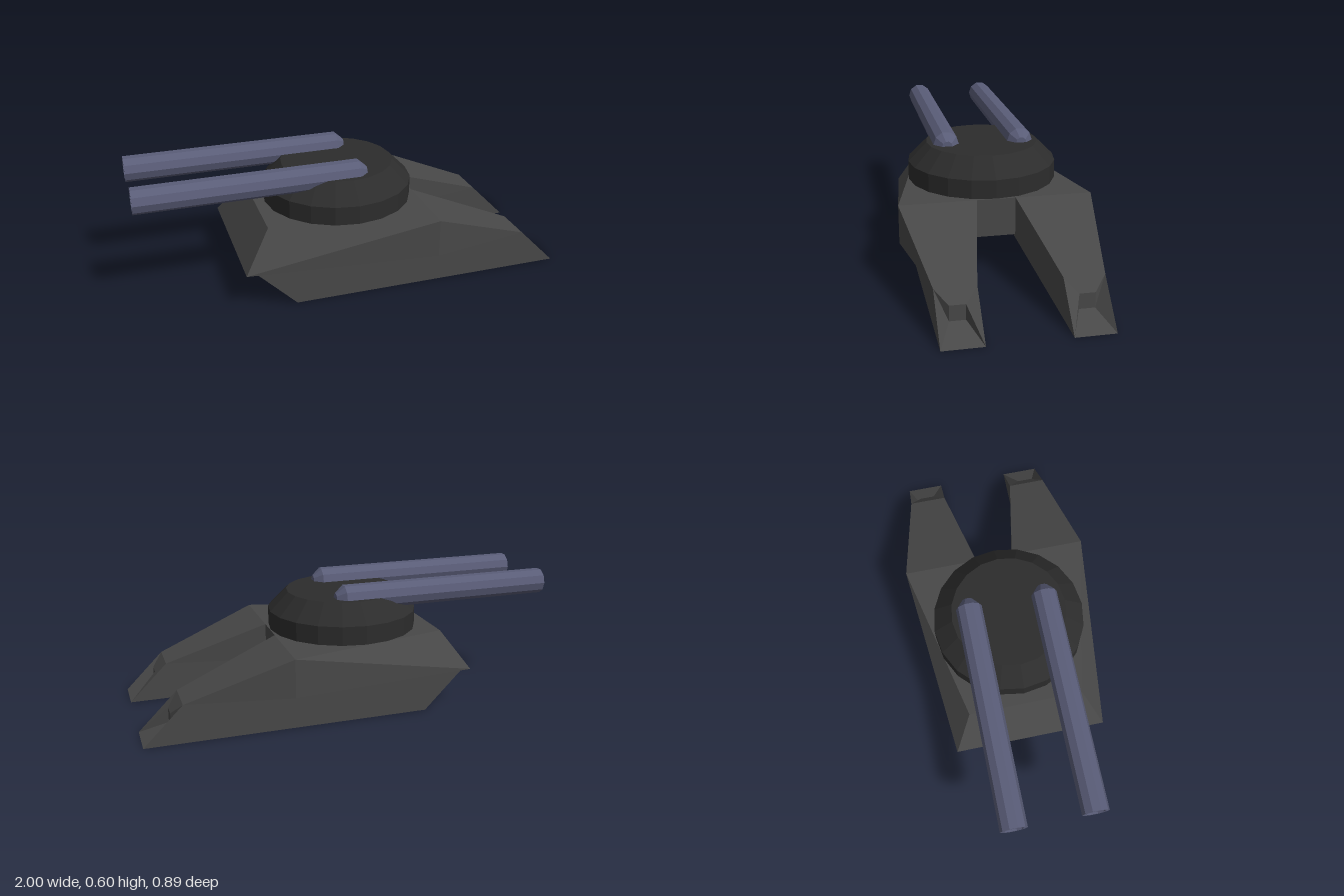
import * as THREE from 'three';

const material = (color) => new THREE.MeshStandardMaterial({ color, flatShading: true });
const hullMat = material(0x484848);
const turretMat = material(0x2c2c2c);
const barrelMat = material(0x5a5d78);

// Flat-shaded mesh from convex polygons; side = -1 mirrors it across z = 0.
function polyMesh(name, polygons, side) {
  const positions = [];
  for (const poly of polygons) {
    for (let i = 1; i < poly.length - 1; i++) {
      const tri = side > 0 ? [poly[0], poly[i], poly[i + 1]] : [poly[0], poly[i + 1], poly[i]];
      for (const [x, y, z] of tri) positions.push(x, y, z * side);
    }
  }
  const geometry = new THREE.BufferGeometry();
  geometry.setAttribute('position', new THREE.Float32BufferAttribute(positions, 3));
  geometry.computeVertexNormals();
  const mesh = new THREE.Mesh(geometry, hullMat);
  mesh.name = name;
  return mesh;
}

// One half of the wedge-shaped upper hull with its prong.
function hullPolygons() {
  const low = 0.18, high = 0.36;
  const noseLow = [-0.55, low, 0.36], noseHigh = [-0.425, high, 0.27];
  const midLow = [-0.55, low, 0], midHigh = [-0.425, high, 0];
  const shoulderLow = [0.34, low, 0.445], shoulderHigh = [0.34, high, 0.445];
  const notchLow = [0.34, low, 0.09], notchHigh = [0.34, high, 0.09];
  const wallLow = [0.34, low, 0], wallHigh = [0.34, high, 0];
  const tipOuter = [0.82, low, 0.36], tipInner = [0.82, low, 0.18];
  return [
    [midHigh, noseHigh, shoulderHigh, wallHigh],        // deck
    [notchHigh, shoulderHigh, tipOuter, tipInner],      // sloping prong top
    [midLow, noseLow, noseHigh, midHigh],               // nose plate
    [noseLow, shoulderLow, shoulderHigh],               // side plates
    [noseLow, shoulderHigh, noseHigh],
    [shoulderLow, tipOuter, shoulderHigh],              // prong cheeks
    [tipInner, notchLow, notchHigh],
    [notchLow, wallLow, wallHigh, notchHigh],           // wall between prongs
    [midLow, wallLow, notchLow, tipInner, tipOuter, shoulderLow, noseLow], // underside
  ];
}

// Slanted skid with a square recess in its end.
function skidPolygons() {
  const a = 0.18, b = 0.36;
  const sidePlate = (z) => [[-0.32, 0, z], [1, 0, z], [0.82, 0.18, z], [-0.5, 0.18, z]];
  const rim = [[1, 0, b], [1, 0, a], [0.82, 0.18, a], [0.82, 0.18, b]];
  const recess = [[0.87, 0.055, 0.305], [0.87, 0.055, 0.235], [0.87, 0.125, 0.235], [0.87, 0.125, 0.305]];
  const polygons = [
    sidePlate(b),
    sidePlate(a).reverse(),
    [[-0.32, 0, a], [1, 0, a], [1, 0, b], [-0.32, 0, b]],
    [[-0.32, 0, a], [-0.32, 0, b], [-0.5, 0.18, b], [-0.5, 0.18, a]],
    recess,
  ];
  for (let k = 0; k < 4; k++) {
    const n = (k + 1) % 4;
    polygons.push([rim[k], rim[n], recess[n], recess[k]]);
  }
  return polygons;
}

// Revolved part from [radius, height] pairs.
function lathe(name, profile, sides, mat) {
  const points = profile.map(([r, y]) => new THREE.Vector2(r, y));
  const mesh = new THREE.Mesh(new THREE.LatheGeometry(points, sides), mat);
  mesh.name = name;
  return mesh;
}

export function createModel() {
  const model = new THREE.Group();
  model.name = 'hoverTank';

  for (const side of [1, -1]) {
    const label = side > 0 ? 'left' : 'right';
    model.add(polyMesh(label + 'Hull', hullPolygons(), side));
    model.add(polyMesh(label + 'Skid', skidPolygons(), side));

    // Hollow barrel with a tapered breech, lying along x
    const barrel = lathe(label + 'Barrel', [
      [0, -0.07], [0.025, -0.07], [0.061, -0.03], [0.061, 1],
      [0.045, 1], [0.045, 0.5], [0, 0.5],
    ], 10, barrelMat);
    barrel.rotation.z = Math.PI / 2;
    barrel.position.set(0, 0.537, 0.179 * side);
    model.add(barrel);
  }

  // Round turret with a bevelled top
  const turret = lathe('turret', [
    [0, 0.36], [0.357, 0.36], [0.357, 0.448], [0.268, 0.537], [0, 0.537],
  ], 20, turretMat);
  turret.position.x = -0.02;
  model.add(turret);

  return model;
}
